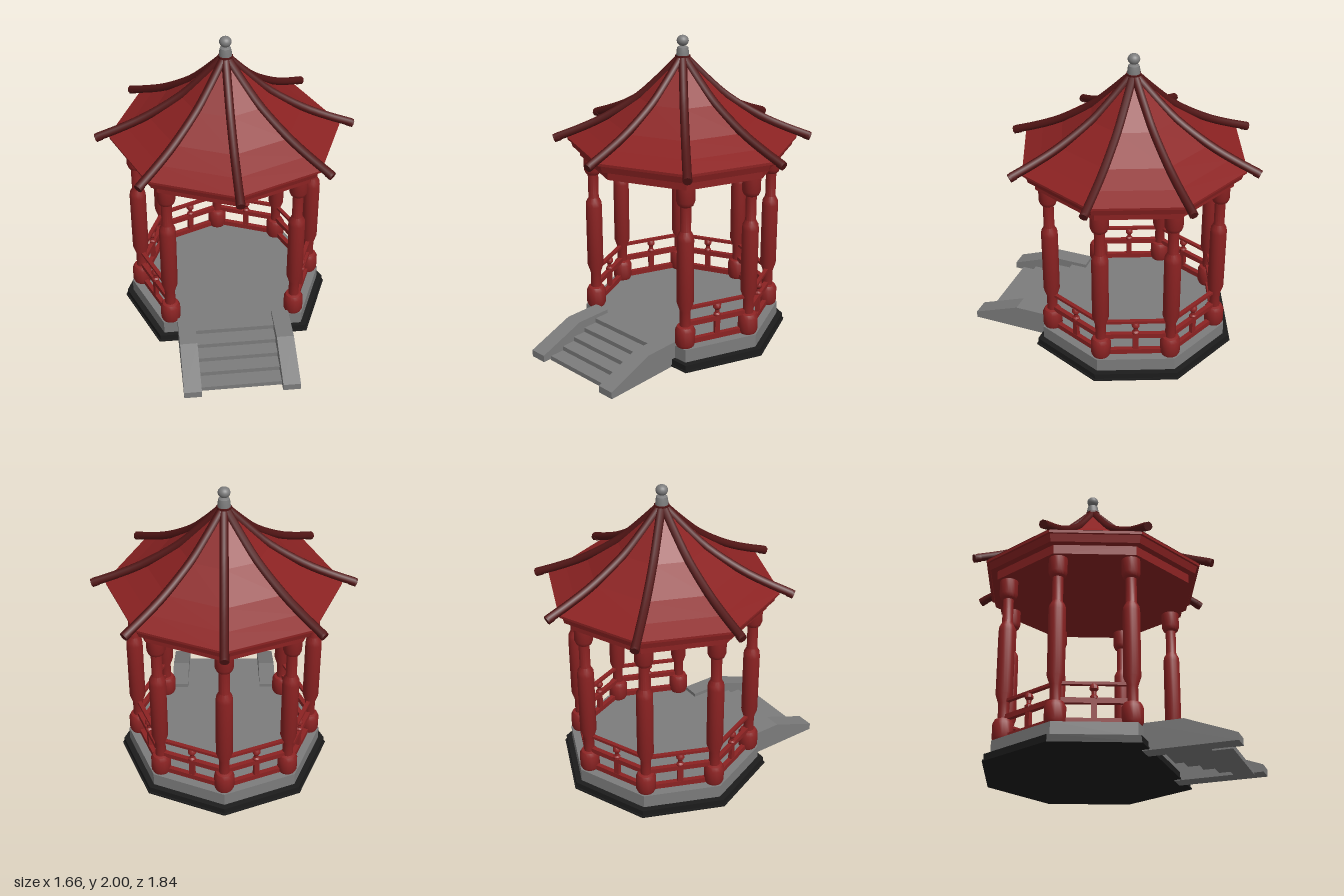
import * as THREE from 'three';
import { toCreasedNormals } from 'three/addons/utils/BufferGeometryUtils.js';

const mat = (color, extra = {}) => new THREE.MeshStandardMaterial({ color, ...extra });
const red = mat(0x8b2222);
const roofRed = mat(0x8b2222, { flatShading: true, side: THREE.DoubleSide });
const darkRed = mat(0x521515);
const stone = mat(0x7c7c7c);
const black = mat(0x1c1c1c);

const V = (x, y, z) => new THREE.Vector3(x, y, z);
const P = ([x, y]) => new THREE.Vector2(x, y);

function add(parent, name, geometry, material, x = 0, y = 0, z = 0) {
  const m = new THREE.Mesh(geometry, material);
  m.name = name;
  m.position.set(x, y, z);
  parent.add(m);
  return m;
}
const box = (w, h, d) => new THREE.BoxGeometry(w, h, d);
const lathe = (pts, n) => toCreasedNormals(new THREE.LatheGeometry(pts.map(P), n), 0.6);

// Octagonal slab with corners on the axes
const octagon = (rTop, rBottom, h) => toCreasedNormals(new THREE.CylinderGeometry(rTop, rBottom, h, 8), 0.3);

// Octagonal slab whose front corner is cut off for the stairs
function cutOctagon(r, h) {
  const pts = [];
  for (let i = 1; i < 8; i++) {
    const a = -Math.PI / 2 + i * Math.PI / 4;
    pts.push(new THREE.Vector2(r * Math.cos(a), r * Math.sin(a)));
  }
  return new THREE.ExtrudeGeometry(new THREE.Shape(pts), { depth: h, bevelEnabled: false }).rotateX(-Math.PI / 2);
}

const COLUMN_R = 0.58;
const corner = (i, y = 0) => V(COLUMN_R * Math.sin(i * Math.PI / 4), y, COLUMN_R * Math.cos(i * Math.PI / 4));

function buildPlatform(g) {
  add(g, 'groundPlate', cutOctagon(0.7, 0.01), black, 0, 0.015);
  add(g, 'plinth', cutOctagon(0.69, 0.04), black, 0, 0.022);
  add(g, 'floor', cutOctagon(0.65, 0.09), stone, 0, 0.06);
}

// Turned columns on every corner but the front one
function buildColumns(g) {
  const profile = [[0, 0.15], [0.055, 0.15], [0.064, 0.17], [0.064, 0.26], [0.052, 0.285], [0.034, 0.29],
    [0.034, 0.39], [0.053, 0.45], [0.053, 0.87], [0.05, 0.9], [0.034, 0.93], [0.034, 1.09], [0.048, 1.1],
    [0.058, 1.125], [0.058, 1.22], [0, 1.22]];
  const geo = lathe(profile, 16);
  for (let i = 1; i < 8; i++) {
    const p = corner(i);
    add(g, 'column', geo, red, p.x, 0, p.z);
  }
}

// Railing with three bars and a middle post between neighbouring columns
function buildRailings(g) {
  const len = 2 * COLUMN_R * Math.sin(Math.PI / 8) - 0.06;
  const knob = lathe([[0, 0.31], [0.024, 0.31], [0.024, 0.325], [0.014, 0.335], [0.014, 0.355],
    [0.026, 0.37], [0.026, 0.385], [0.018, 0.4], [0, 0.4]], 10);
  for (let i = 1; i < 7; i++) {
    const rail = new THREE.Group();
    rail.name = 'railing';
    rail.position.copy(corner(i).add(corner(i + 1)).multiplyScalar(0.5));
    rail.rotation.y = (i + 0.5) * Math.PI / 4;
    add(rail, 'bottomRail', box(len, 0.035, 0.03), red, 0, 0.173);
    add(rail, 'middleRail', box(len, 0.033, 0.03), red, 0, 0.298);
    add(rail, 'topRail', box(len, 0.018, 0.026), red, 0, 0.405);
    add(rail, 'railPost', box(0.035, 0.13, 0.026), red, 0, 0.235);
    add(rail, 'railKnob', knob, red);
    g.add(rail);
  }
}

// Beams, curved roof panels, hip ridges and finial
function buildRoof(g) {
  add(g, 'lowerBeam', octagon(0.66, 0.66, 0.06), red, 0, 1.25);
  add(g, 'upperBeam', octagon(0.72, 0.705, 0.05), red, 0, 1.305);
  add(g, 'eave', octagon(0.735, 0.735, 0.018), red, 0, 1.336);
  const panels = [[0.74, 1.345], [0.62, 1.395], [0.48, 1.465], [0.28, 1.605], [0.03, 1.855]];
  add(g, 'roofPanels', new THREE.LatheGeometry(panels.map(P), 8), roofRed);

  const path = new THREE.CatmullRomCurve3(
    [[0.02, 1.855], [0.15, 1.725], [0.28, 1.61], [0.5, 1.473], [0.66, 1.4], [0.81, 1.343]].map(([r, y]) => V(0, y, r)));
  const tube = new THREE.TubeGeometry(path, 16, 0.027, 8);
  const tip = toCreasedNormals(new THREE.CylinderGeometry(0.028, 0.028, 0.04, 8), 0.9);
  const lean = new THREE.Quaternion().setFromUnitVectors(V(0, 1, 0), path.getTangent(1));
  for (let i = 0; i < 8; i++) {
    const ridge = new THREE.Group();
    ridge.name = 'hipRidge';
    ridge.rotation.y = i * Math.PI / 4;
    add(ridge, 'ridgeTube', tube, darkRed);
    add(ridge, 'ridgeTip', tip, darkRed, 0, 1.343, 0.802).quaternion.copy(lean);
    g.add(ridge);
  }
  add(g, 'roofCap', octagon(0.048, 0.048, 0.05), darkRed, 0, 1.85);
  add(g, 'finialBase', lathe([[0, 1.865], [0.041, 1.865], [0.039, 1.9], [0.034, 1.925], [0.015, 1.935], [0, 1.935]], 16), stone);
  add(g, 'finialBall', new THREE.SphereGeometry(0.038, 20, 14).scale(1, 0.9, 1), stone, 0, 1.966);
}

// Front stairs between two sloping side walls
function buildStairs(g) {
  const stairs = new THREE.Group();
  stairs.name = 'stairs';
  const fronts = [0.46, 0.56, 0.655, 0.75, 0.85];
  fronts.forEach((front, i) => {
    const back = i ? fronts[i - 1] - 0.02 : 0.35;
    add(stairs, 'step', box(0.53, 0.03, front - back), stone, 0, 0.135 - i * 0.03, (front + back) / 2);
  });
  const side = new THREE.Shape([[-0.91, 0.01], [-0.35, 0.01], [-0.35, 0.175], [-0.6, 0.175], [-0.91, 0.055]].map(P));
  const wall = new THREE.ExtrudeGeometry(side, { depth: 0.112, bevelEnabled: false });
  wall.rotateY(Math.PI / 2).translate(-0.056, 0, 0);
  for (const s of [-1, 1]) add(stairs, 'stairWall', wall, stone, s * 0.314);
  g.add(stairs);
}

export function createModel() {
  const model = new THREE.Group();
  model.name = 'pavilion';
  const body = new THREE.Group();
  body.name = 'octagonalPavilion';
  body.position.z = -0.1;
  buildPlatform(body);
  buildColumns(body);
  buildRailings(body);
  buildRoof(body);
  model.add(body);
  buildStairs(model);
  return model;
}
